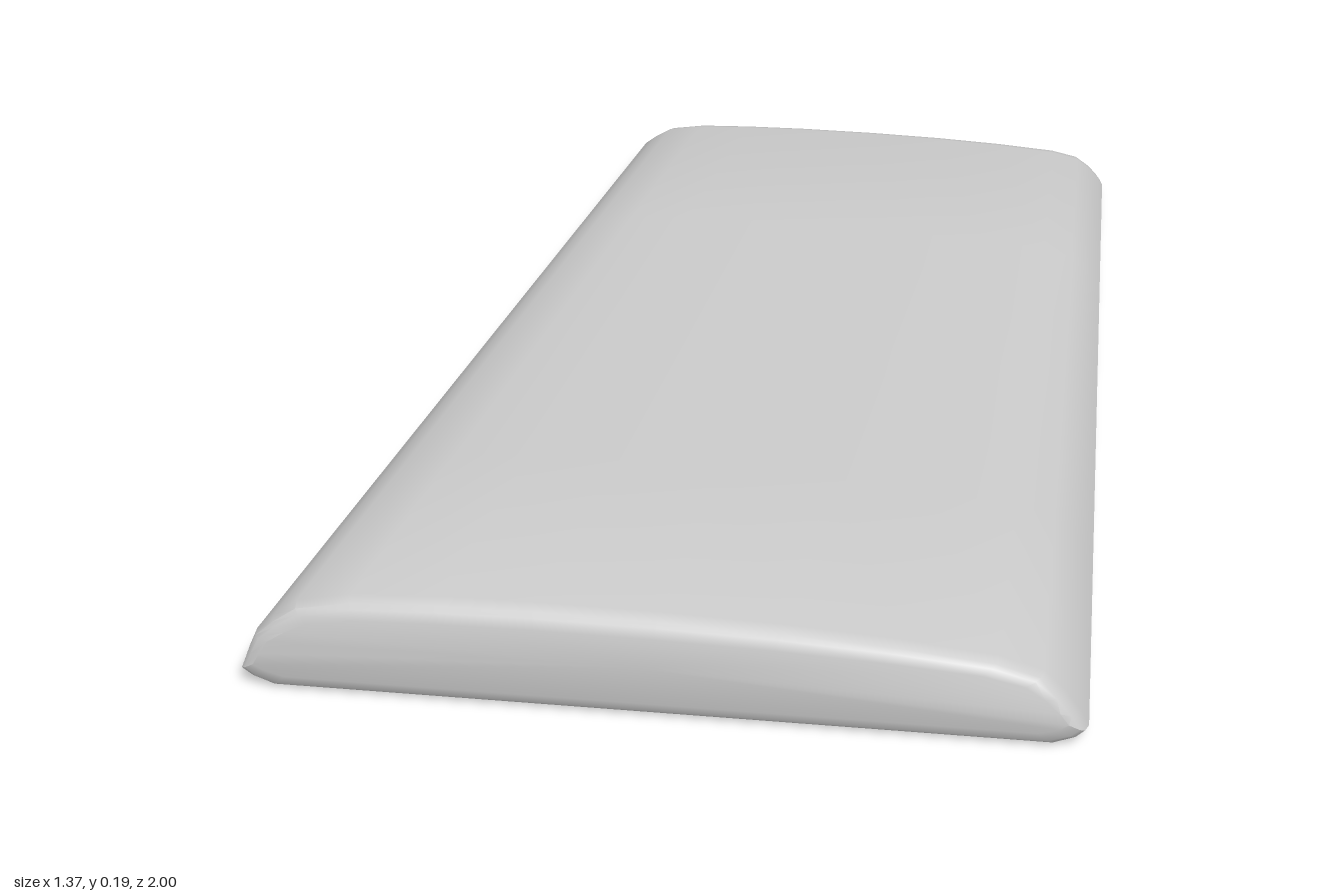
import * as THREE from 'three';
import { toCreasedNormals } from 'three/addons/utils/BufferGeometryUtils.js';

// Front cross-section, clockwise seen from the front: [x, y]
const PROFILE = [
  [-0.688, 0.03], [-0.675, 0.065], [-0.66, 0.1], [-0.63, 0.13], [-0.59, 0.161], [-0.5, 0.18], [-0.36, 0.187],
  [-0.2, 0.19], [0, 0.188], [0.2, 0.181], [0.38, 0.169], [0.54, 0.152], [0.61, 0.13],
  [0.645, 0.095], [0.67, 0.06], [0.685, 0.03], [0.67, 0.015], [0.635, 0],
  [-0.635, 0], [-0.67, 0.015],
];
const BACK_LEFT = -0.332, BACK_RIGHT = 0.662, BACK_HEIGHT = 0.12;

// Section at depth z, tapering to the back and inset by d for the rounded ends
function section(z, d) {
  const t = (1 - z) / 2;
  const left = THREE.MathUtils.lerp(-0.688, BACK_LEFT, t);
  const right = THREE.MathUtils.lerp(0.685, BACK_RIGHT, t);
  const height = THREE.MathUtils.lerp(0.19, BACK_HEIGHT, t);
  const cx = (left + right) / 2, cy = height / 2;
  const sx = 1 - d / ((right - left) / 2), sy = 1 - d / cy;
  return PROFILE.map(([px, py]) => {
    const x = left + (px + 0.688) / 1.373 * (right - left);
    const y = py <= 0.03 ? py : 0.03 + (py - 0.03) / 0.16 * (height - 0.03);
    return [cx + (x - cx) * sx, cy + (y - cy) * sy, z];
  });
}

function loft(rings) {
  const n = PROFILE.length, points = rings.flat(), index = [];
  for (let r = 0; r < rings.length - 1; r++) {
    for (let i = 0; i < n; i++) {
      const a = r * n + i, b = r * n + (i + 1) % n;
      index.push(a, b, a + n, b, b + n, a + n);
    }
  }
  // Flat end caps
  [0, rings.length - 1].forEach((r) => {
    const c = points.length, ring = rings[r];
    points.push([0, 1, 2].map((k) => ring.reduce((s, p) => s + p[k], 0) / n));
    for (let i = 0; i < n; i++) {
      const a = r * n + i, b = r * n + (i + 1) % n;
      if (r === 0) index.push(c, b, a);
      else index.push(c, a, b);
    }
  });
  const geometry = new THREE.BufferGeometry();
  geometry.setAttribute('position', new THREE.Float32BufferAttribute(points.flat(), 3));
  geometry.setIndex(index);
  return toCreasedNormals(geometry, 0.6);
}

export function createModel() {
  const group = new THREE.Group();
  group.name = 'taperedPanel';
  const material = new THREE.MeshStandardMaterial({ color: 0xcccccc });

  // Rounded front end, long tapering span, rounded back end
  const rings = [
    [1, 0.032], [0.993, 0.014], [0.985, 0.006], [0.965, 0],
    [0.5, 0], [0, 0], [-0.5, 0],
    [-0.97, 0], [-0.987, 0.005], [-0.994, 0.012], [-1, 0.026],
  ].map(([z, d]) => section(z, d));
  const body = new THREE.Mesh(loft(rings), material);
  body.name = 'panelBody';
  group.add(body);
  return group;
}
